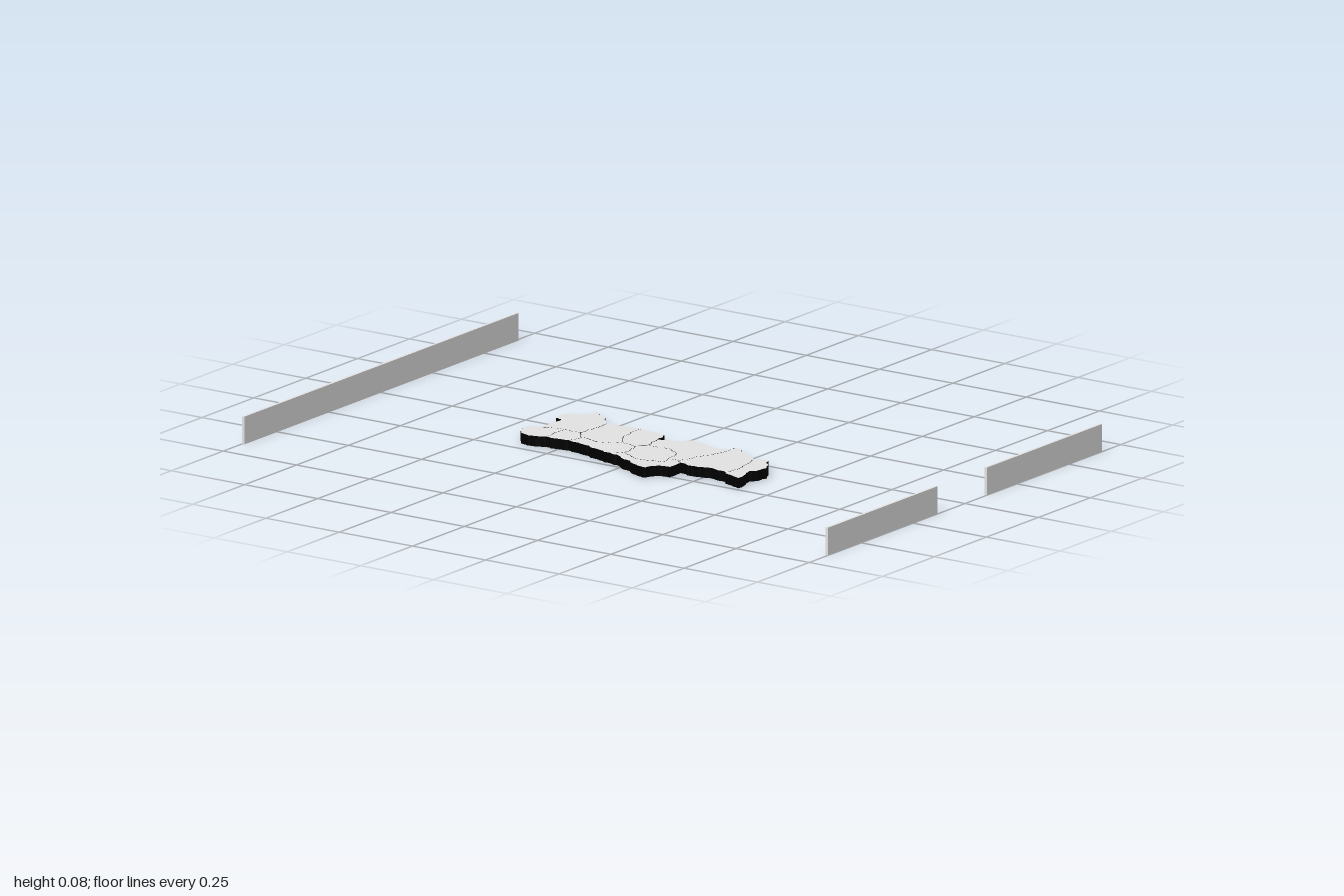
import * as THREE from 'three';

// Coast points, clockwise from the north (x, z in hundredths of a unit)
const coast = [
  [-12.2, -36.5], [-7.4, -36.3], [-2.6, -36], [-2, -38.3], [4.2, -38.1],
  [4.8, -34.6], [9.5, -32.5], [7, -28], [3.7, -25.4], [2.1, -23.5],
  [2.4, -12], [1.6, -6.5], [0.8, -3], [-4, -2], [-2.4, 2.6],
  [1, 7], [-1, 12.7], [-2.4, 16], [-1, 20], [1.5, 20.4],
  [0.8, 23.5], [-3, 28], [-5, 31.5], [-4.3, 36], [-10.5, 40],
  [-16, 37.8], [-23.7, 39.4], [-22.3, 35], [-20.8, 33], [-20, 26],
  [-21.2, 20], [-20, 17], [-25.5, 17.2], [-26.5, 13.5], [-29.6, 12],
  [-28.6, 7], [-25.4, 0.5], [-23, -5], [-20, -17], [-19, -22],
  [-19.6, -29], [-21.4, -34], [-20.6, -37], [-17.5, -39.2], [-13.8, -40.3],
];

// Inland points where province borders bend or meet
const inland = [
  [-11, -32.5], [-10.2, -29], [-15, -29.5], [-10.5, -24], [-4, -23],
  [-14.5, -20.5], [-16, -15], [-15, -12], [-12.2, -8.5], [-6, -11.8],
  [-13.5, -3], [-10.5, -1], [-20, -2], [-23, 3], [-23, 9],
  [-22.5, 12.5], [-19, 12], [-10, 5.5], [-13.5, 11], [-18.5, 15.5],
  [-14, 17], [-7.5, 19.5], [-16, 34], [-10.5, 33],
];

const shore = (a, b) => Array.from({ length: b - a + 1 }, (_, i) => coast[(a + i) % coast.length]);
const border = (...ids) => ids.map((i) => inland[i]);

// Province outlines, all clockwise seen from above
const provinces = {
  northWestProvince: [...shore(40, 45), ...border(0, 1, 2)],
  northCoastProvince: [...shore(39, 40), ...border(2, 1, 3, 5)],
  northEastProvince: [...shore(0, 9), ...border(4, 3, 1, 0)],
  upperInlandProvince: [...shore(9, 10), ...border(9, 8, 7, 6, 5, 3, 4)],
  middleCoastProvince: [...shore(37, 39), ...border(5, 6, 7, 8, 10, 12)],
  lowerInlandProvince: [...shore(10, 13), ...border(11, 10, 8, 9)],
  riverProvince: border(10, 11, 17, 18, 16, 15, 14, 13, 12),
  westCoastProvince: [...shore(31, 37), ...border(12, 13, 14, 15, 16, 19)],
  eastPlainProvince: [...shore(13, 19), ...border(21, 20, 19, 16, 18, 17, 11)],
  southPlainProvince: [...shore(19, 22), ...border(23, 22), ...shore(28, 31), ...border(19, 20, 21)],
  southCoastProvince: [...shore(22, 28), ...border(22, 23)],
};

// Repeatable offset from a position, so neighbours share the same ragged border
function wobble(x, z, seed) {
  const s = Math.sin(x * 12.9898 + z * 78.233 + seed) * 43758.5453;
  return s - Math.floor(s) - 0.5;
}

// Points from a up to (not including) b, with displaced midpoints
function ragged(a, b, depth) {
  if (depth === 0) return [a];
  const mx = (a[0] + b[0]) / 2;
  const mz = (a[1] + b[1]) / 2;
  const size = Math.min(1.2, 0.3 * Math.hypot(b[0] - a[0], b[1] - a[1]));
  const m = [mx + size * wobble(mx, mz, 1), mz + size * wobble(mx, mz, 2)];
  return [...ragged(a, m, depth - 1), ...ragged(m, b, depth - 1)];
}

// Pull an outline slightly inwards, leaving a hairline joint between provinces
function inset(outline, distance) {
  const n = outline.length;
  return outline.map(([x, z], i) => {
    const [px, pz] = outline[(i + n - 1) % n];
    const [qx, qz] = outline[(i + 1) % n];
    const length = Math.hypot(qx - px, qz - pz);
    return [x - ((qz - pz) / length) * distance, z + ((qx - px) / length) * distance];
  });
}

function provinceGeometry(points) {
  const outline = points.flatMap((p, i) => ragged(p, points[(i + 1) % points.length], 3));
  const shape = new THREE.Shape(inset(outline, 0.08).map(([x, z]) => new THREE.Vector2(x / 100, -z / 100)));
  return new THREE.ExtrudeGeometry(shape, { depth: 0.03, bevelEnabled: false }).rotateX(-Math.PI / 2);
}

export function createModel() {
  const model = new THREE.Group();
  const grey = new THREE.MeshStandardMaterial({ color: 0xe5e5e5 });
  grey.name = 'paleGrey';
  const black = new THREE.MeshStandardMaterial({ color: 0x000000 });
  black.name = 'black';

  // Relief map, one slab per province: grey faces, black sides
  const map = new THREE.Group();
  map.name = 'map';
  for (const [name, points] of Object.entries(provinces)) {
    const slab = new THREE.Mesh(provinceGeometry(points), [grey, black]);
    slab.name = name;
    map.add(slab);
  }
  model.add(map);

  // Low walls: one long at the back, two at the front with a gap between
  const height = 0.08;
  const thickness = 0.008;
  const addWall = (name, x0, x1, z) => {
    const wall = new THREE.Mesh(new THREE.BoxGeometry(x1 - x0, height, thickness), grey);
    wall.name = name;
    wall.position.set((x0 + x1) / 2, height / 2, z);
    model.add(wall);
  };
  const edge = 1 - thickness / 2;
  addWall('backWall', -0.66, 0.66, -edge);
  addWall('frontRightWall', -0.66, -0.132, edge);
  addWall('frontLeftWall', 0.105, 0.66, edge);

  return model;
}
